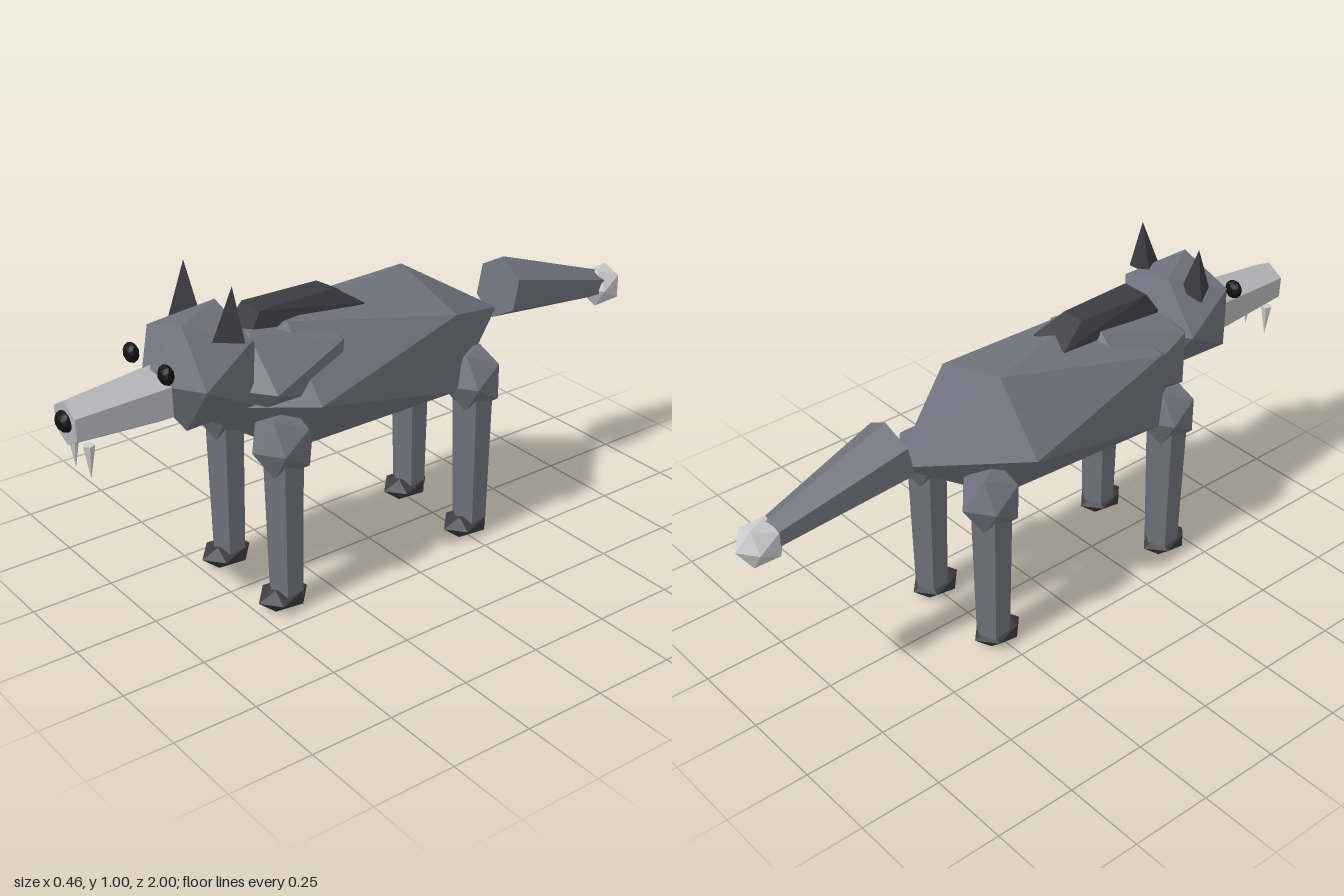
import * as THREE from 'three';
import { ConvexGeometry } from 'three/addons/geometries/ConvexGeometry.js';

const material = (name, color) => {
  const m = new THREE.MeshStandardMaterial({ color });
  m.name = name;
  return m;
};

const V = (x, y, z) => new THREE.Vector3(x, y, z);

// Faceted copy of a geometry: every face gets its own normal
function faceted(geometry) {
  const g = geometry.index ? geometry.toNonIndexed() : geometry;
  g.computeVertexNormals();
  return g;
}

// Twenty-sided lump with its poles along z
function lump(rx, ry, rz) {
  const points = [V(0, 0, rz), V(0, 0, -rz)];
  const ring = 2 / Math.sqrt(5), depth = 1 / Math.sqrt(5);
  for (let i = 0; i < 5; i++) {
    const a = (i * Math.PI * 2) / 5;
    const x = Math.cos(a) * ring * rx, y = Math.sin(a) * ring * ry;
    points.push(V(x, y, depth * rz), V(-x, y, -depth * rz));
  }
  return new ConvexGeometry(points);
}

// Tapered hexagonal limb from one point to another
function limb(from, to, rFrom, rTo, sides = 6) {
  const dir = to.clone().sub(from);
  const g = new THREE.CylinderGeometry(rTo, rFrom, dir.length(), sides);
  g.applyQuaternion(new THREE.Quaternion().setFromUnitVectors(V(0, 1, 0), dir.normalize()));
  const mid = from.clone().add(to).multiplyScalar(0.5);
  g.translate(mid.x, mid.y, mid.z);
  return faceted(g);
}

export function createModel() {
  const model = new THREE.Group();
  model.name = 'wolf';

  const fur = material('greyFur', 0x6f727c);
  const dark = material('darkFur', 0x3b3b41);
  const pale = material('paleFur', 0xb6b5b8);
  const white = material('offWhite', 0xcdccce);
  const black = material('black', 0x111113);

  const add = (name, geometry, mat, x = 0, y = 0, z = 0) => {
    const mesh = new THREE.Mesh(geometry, mat);
    mesh.name = name;
    mesh.position.set(x, y, z);
    model.add(mesh);
    return mesh;
  };

  // Trunk, neck and head
  add('body', lump(0.257, 0.23, 0.565), fur, 0, 0.635, 0.08);
  add('neck', lump(0.22, 0.16, 0.27), fur, 0, 0.69, 0.33);
  add('head', lump(0.18, 0.18, 0.185), fur, 0, 0.742, 0.565);

  // Mane: a dark wedge along the shoulders
  const mane = [];
  for (const s of [-1, 1]) {
    mane.push(
      V(s * 0.037, 0.87, 0.155), V(s * 0.066, 0.815, 0.065), V(s * 0.05, 0.74, 0.07),
      V(s * 0.045, 0.87, 0.4), V(s * 0.055, 0.81, 0.44), V(s * 0.045, 0.74, 0.44)
    );
  }
  add('mane', new ConvexGeometry(mane), dark);

  // Muzzle and nose
  add('muzzle', limb(V(0, 0.7, 0.7), V(0, 0.693, 0.975), 0.087, 0.064), pale);
  const ball = faceted(new THREE.IcosahedronGeometry(1, 1));
  add('nose', ball, black, 0, 0.7, 0.978).scale.set(0.035, 0.03, 0.022);

  for (const s of [-1, 1]) {
    const side = s > 0 ? 'left' : 'right';

    // Face details
    add(side + 'Eye', ball, black, s * 0.088, 0.79, 0.724).scale.set(0.029, 0.029, 0.02);
    const ear = add(side + 'Ear', faceted(new THREE.ConeGeometry(0.05, 0.15, 3)), dark, s * 0.113, 0.924, 0.538);
    ear.rotation.set(-0.07, 0, -s * 0.06);
    add(side + 'Fang', limb(V(s * 0.041, 0.535, 0.935), V(s * 0.041, 0.635, 0.935), 0, 0.017, 5), white);

    // Legs: joint, shaft and paw
    for (const [end, z, pawZ] of [['Front', 0.406, 0.418], ['Rear', -0.272, -0.257]]) {
      add(side + end + 'Joint', lump(0.088, 0.105, 0.1), fur, s * 0.146, 0.515, z);
      add(side + end + 'Leg', limb(V(s * 0.147, 0.03, z), V(s * 0.147, 0.52, z), 0.052, 0.063), fur);
      add(side + end + 'Paw', lump(0.064, 0.041, 0.083), dark, s * 0.147, 0.036, pawZ);
    }
  }

  // Tail with pale tip
  add('tail', limb(V(0, 0.7, -0.49), V(0, 0.607, -0.91), 0.096, 0.043), fur);
  add('tailTip', lump(0.062, 0.07, 0.075), white, 0, 0.6, -0.925);

  return model;
}
